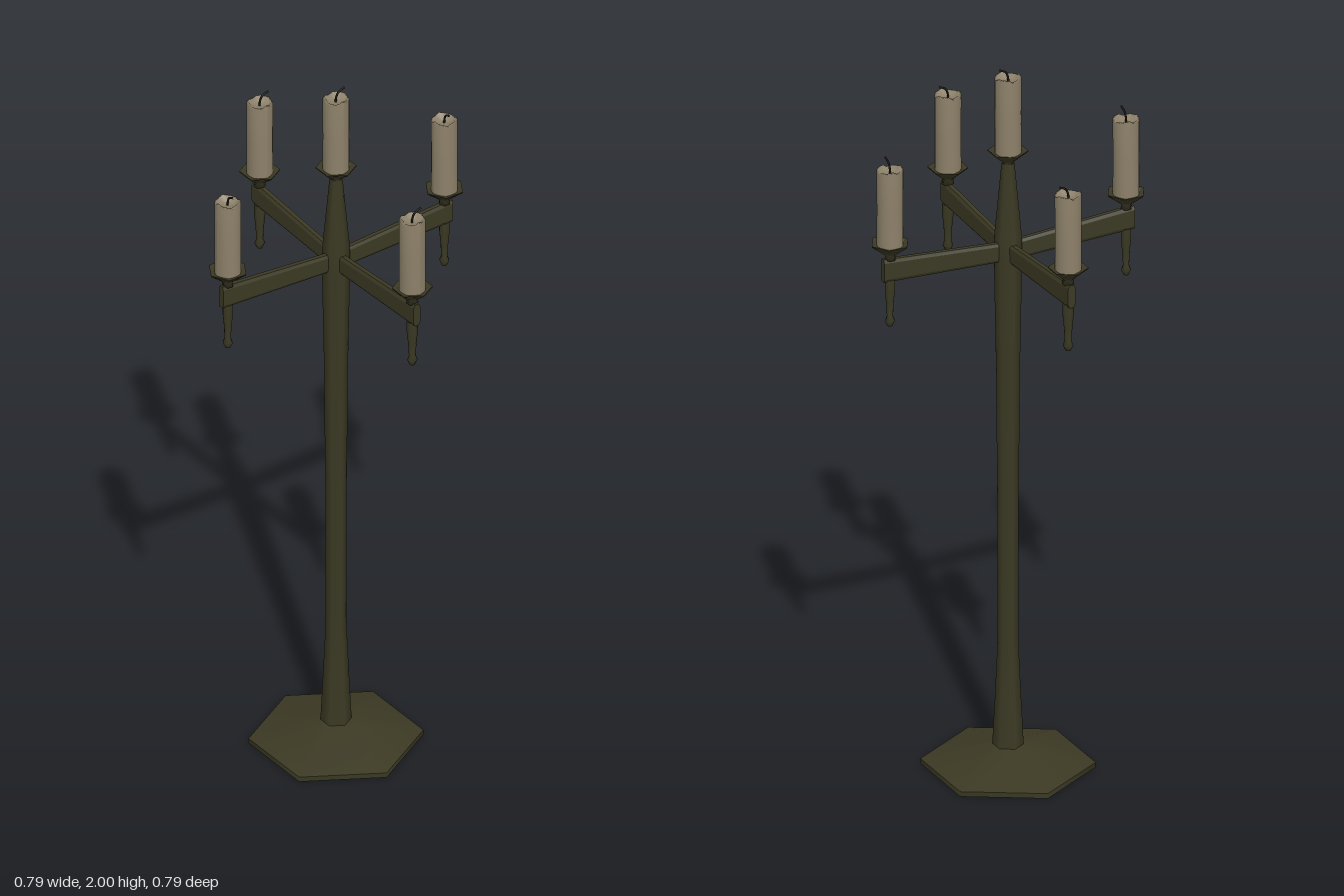
import * as THREE from 'three';

const iron = new THREE.MeshStandardMaterial({ color: 0x3b3923 });
iron.name = 'dark iron';
const wax = new THREE.MeshStandardMaterial({ color: 0x8c8069 });
wax.name = 'old wax';
const char = new THREE.MeshStandardMaterial({ color: 0x1c1a14 });
char.name = 'charred wick';

function add(parent, name, geometry, material) {
  const mesh = new THREE.Mesh(geometry, material);
  mesh.name = name;
  parent.add(mesh);
  return mesh;
}

// Turned part; profile runs from bottom to top as [radius, y]
function turned(profile, sides) {
  return new THREE.LatheGeometry(profile.map(([r, y]) => new THREE.Vector2(r, y)), sides);
}

// Candle body with a worn, uneven rim and a shallow dip
function candleGeometry() {
  const geo = turned([[0, 0], [0.035, 0], [0.035, 0], [0.0345, 0.1], [0.035, 0.214],
    [0.029, 0.216], [0.02, 0.207], [0, 0.205]], 18);
  const p = geo.attributes.position;
  for (let i = 0; i < p.count; i++) {
    if (p.getY(i) < 0.21) continue;
    const a = Math.atan2(p.getX(i), p.getZ(i));
    p.setY(i, p.getY(i) + 0.003 * Math.sin(3 * a + 1) + 0.002 * Math.cos(7 * a));
  }
  geo.computeVertexNormals();
  return geo;
}

// Drip cup, candle and wick, with y = 0 at the foot of the cup
function makeCandle(wickTurn) {
  const group = new THREE.Group();
  group.name = 'candleHolder';
  add(group, 'dripCup', turned([[0, 0], [0.016, 0], [0.014, 0.014], [0.026, 0.024],
    [0.053, 0.045], [0.053, 0.048], [0.053, 0.048], [0.034, 0.042], [0, 0.042]], 6), iron);
  const candle = new THREE.Group();
  candle.name = 'candle';
  candle.position.y = 0.042;
  candle.rotation.y = wickTurn;
  add(candle, 'wax', candleGeometry(), wax);
  const curve = new THREE.CatmullRomCurve3([[-0.001, 0.2], [0, 0.216], [0.006, 0.23], [0.016, 0.236], [0.027, 0.24]]
    .map(([x, y]) => new THREE.Vector3(x, y, 0)));
  add(candle, 'wick', new THREE.TubeGeometry(curve, 8, 0.003, 5), char);
  group.add(candle);
  return group;
}

// Narrow chamfered arm along +z, rising and thickening towards its tip
function armGeometry() {
  const w = 0.0105, h = 0.5, c = 0.006;
  const shape = new THREE.Shape([[-c, -h], [c, -h], [w, -0.36], [w, 0.36], [c, h], [-c, h], [-w, 0.36], [-w, -0.36]]
    .map(([x, y]) => new THREE.Vector2(x, y)));
  const geo = new THREE.ExtrudeGeometry(shape, { depth: 0.365, steps: 3, bevelEnabled: false });
  const p = geo.attributes.position;
  for (let i = 0; i < p.count; i++) {
    const t = p.getZ(i) / 0.365;
    p.setY(i, 1.477 + 0.02 * t + p.getY(i) * (0.052 + 0.013 * t));
  }
  geo.computeVertexNormals();
  return geo;
}

export function createModel() {
  const model = new THREE.Group();
  model.name = 'candelabrum';

  // Six-sided foot and tapering pole
  add(model, 'foot', turned([[0, 0], [0.228, 0], [0.228, 0], [0.228, 0.014], [0.228, 0.014],
    [0.04, 0.063], [0, 0.066]], 6), iron);
  add(model, 'pole', turned([[0.041, 0.058], [0.034, 0.2], [0.027, 0.36], [0.028, 0.8], [0.032, 1.2],
    [0.037, 1.46], [0.036, 1.52], [0.024, 1.65], [0.017, 1.73]], 6), iron);

  // Four arms, each with a hanging finial and a candle
  for (let i = 0; i < 4; i++) {
    const turn = i * Math.PI / 2;
    const branch = new THREE.Group();
    branch.name = 'branch';
    branch.rotation.y = turn;
    add(branch, 'arm', armGeometry(), iron);
    const finial = add(branch, 'finial', turned([[0, 1.332], [0.007, 1.335], [0.014, 1.35], [0.009, 1.362],
      [0.011, 1.4], [0.015, 1.44], [0.015, 1.47]], 6), iron);
    finial.position.z = 0.344;
    const side = i % 2 ? -Math.PI / 2 : 0;
    const holder = makeCandle(side - turn);
    holder.position.set(0, 1.525, 0.344);
    branch.add(holder);
    model.add(branch);
  }

  // Taller middle candle
  const middle = makeCandle(0);
  middle.position.y = 1.717;
  model.add(middle);
  return model;
}
